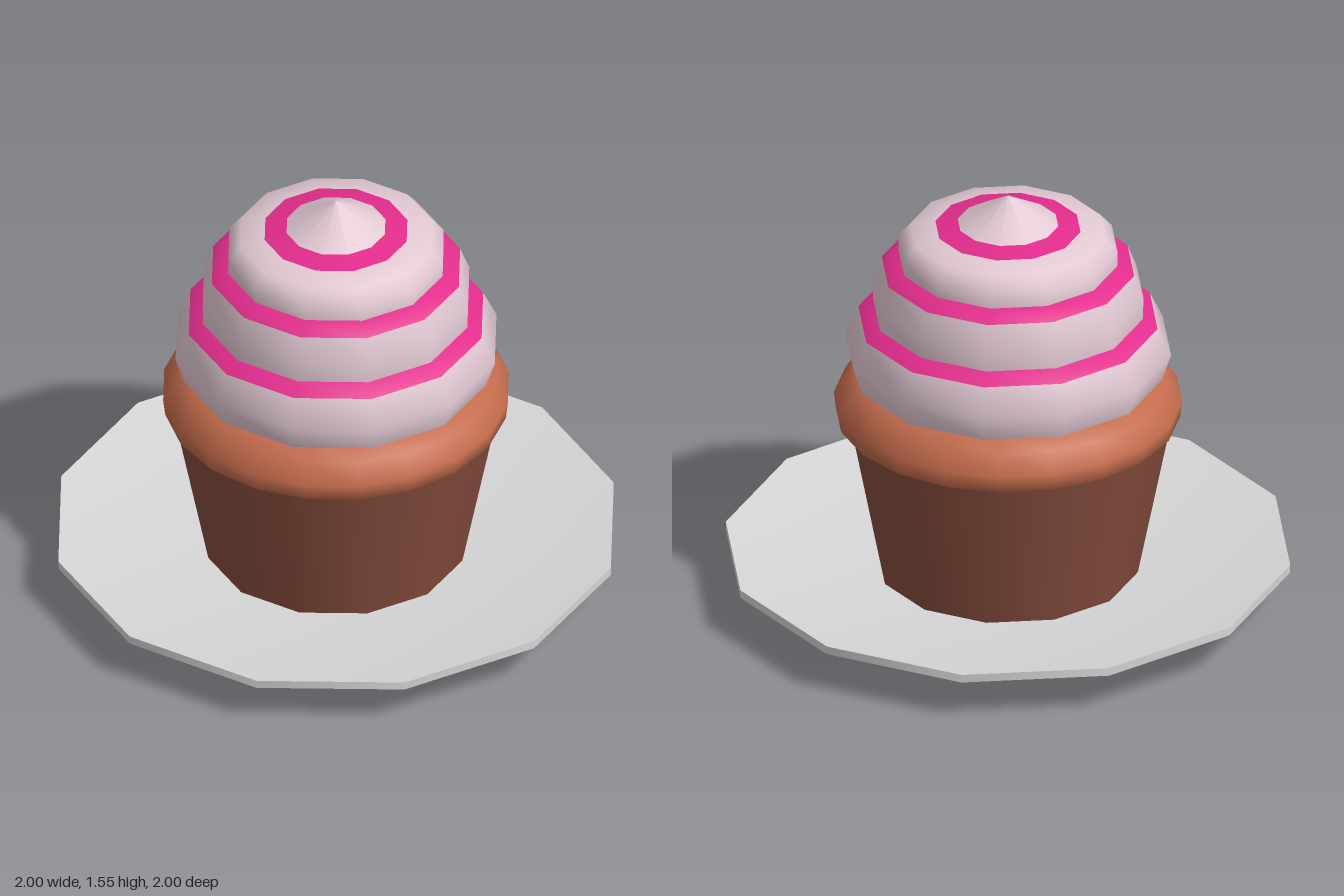
import * as THREE from 'three';

const material = (name, color, side = THREE.FrontSide) => {
  const m = new THREE.MeshStandardMaterial({ color, side });
  m.name = name;
  return m;
};

export function createModel() {
  const model = new THREE.Group();
  const china = material('plateGrey', 0xd6d6d6);
  const chinaOpen = china; 
  const paper = material('cupBrown', 0x864d3d);
  const sponge = material('spongeOrange', 0xc56c4d);
  const cream = material('creamPink', 0xe2c9d3);
  const stripe = material('stripeMagenta', 0xe22c8c);

  // Revolves [radius, height] pairs; profiles run so that faces point outward
  const turn = (name, mat, profile, sides = 12) => {
    const points = profile.map(([r, y]) => new THREE.Vector2(r, y));
    const mesh = new THREE.Mesh(new THREE.LatheGeometry(points, sides), mat);
    mesh.name = name;
    model.add(mesh);
  };

  // Plate: shallow dish on a hollow foot ring
  turn('plateUnderside', china, [[0, 0.07], [0.52, 0.07], [1, 0.15]]);
  turn('plateRim', china, [[1, 0.15], [1, 0.18]]);
  turn('plateTop', china, [[1, 0.18], [0.52, 0.105], [0, 0.105]]);
  turn('footOuter', china, [[0.52, 0], [0.52, 0.07]]);
  turn('footBottom', chinaOpen, [[0.51, 0], [0.52, 0]]);
  turn('footInner', chinaOpen, [[0.51, 0.07], [0.51, 0]]);

  // Paper cup
  turn('cup', paper, [[0.46, 0.105], [0.577, 0.7]]);

  // Sponge rim bulging over the cup
  turn('sponge', sponge, [
    [0.5, 0.69], [0.565, 0.678], [0.603, 0.7], [0.61, 0.76],
    [0.565, 0.83], [0.51, 0.873], [0.4, 0.89],
  ], 20);

  // Three stacked cream swirls, each topped by a magenta band
  turn('lowerCreamBase', cream, [[0.4, 0.872], [0.545, 0.872]]);
  turn('lowerCream', cream, [[0.545, 0.872], [0.578, 0.972], [0.53, 1.072]]);
  turn('lowerStripe', stripe, [[0.53, 1.072], [0.475, 1.11], [0.42, 1.12]]);

  turn('middleCream', cream, [[0.478, 1.1], [0.48, 1.19], [0.447, 1.275]]);
  turn('middleStripe', stripe, [[0.447, 1.275], [0.4, 1.308], [0.34, 1.315]]);

  turn('upperCream', cream, [[0.388, 1.3], [0.388, 1.365], [0.345, 1.415], [0.257, 1.432]]);
  turn('upperStripe', stripe, [[0.257, 1.432], [0.178, 1.448]]);

  // Pointed tip
  turn('creamTip', cream, [[0.178, 1.448], [0, 1.555]]);

  return model;
}
